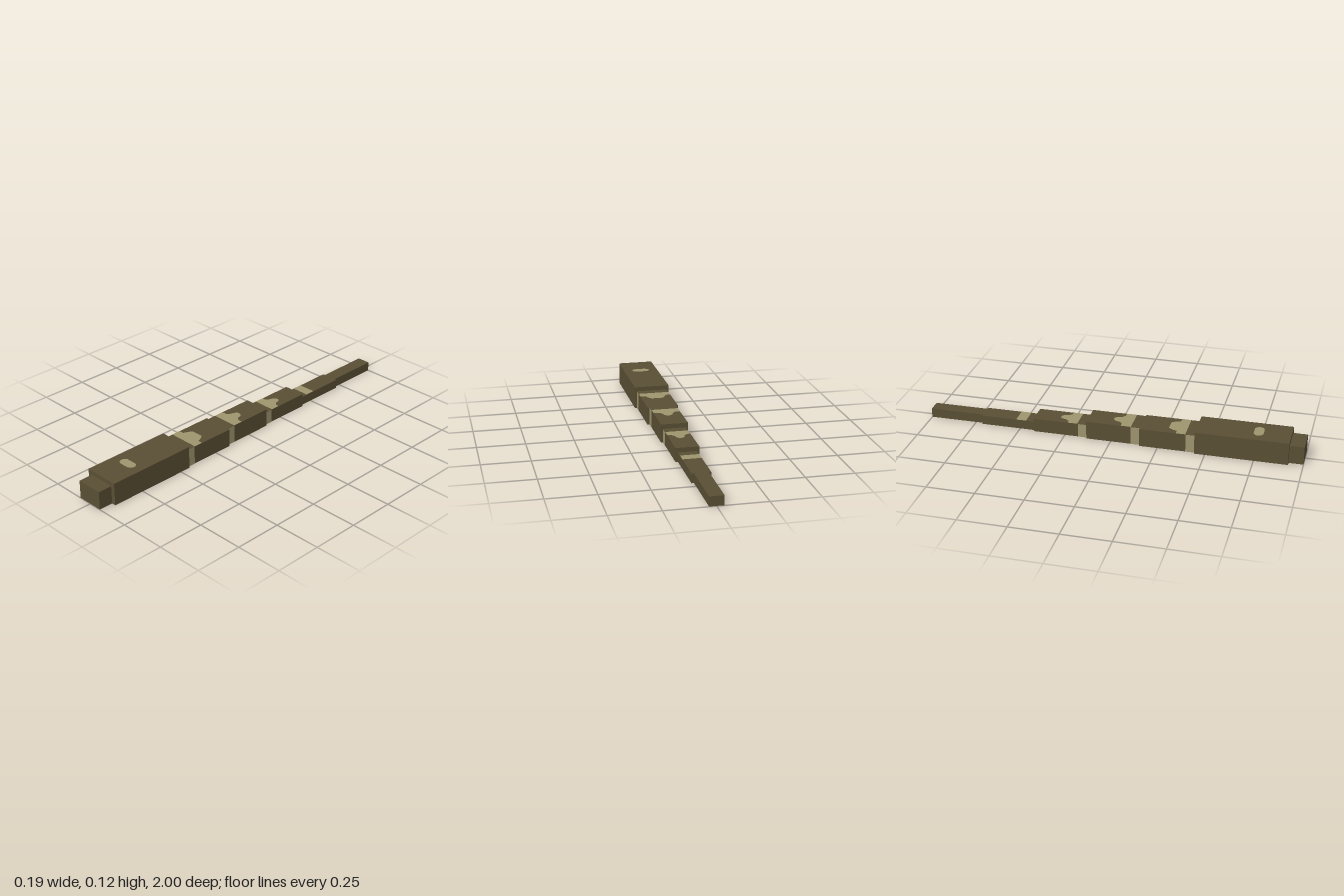
import * as THREE from 'three';

export function createModel() {
  const model = new THREE.Group();
  const olive = new THREE.MeshStandardMaterial({ color: 0x5a4f35 });
  const tan = new THREE.MeshStandardMaterial({ color: 0x9e956e });
  olive.name = 'dark olive';
  tan.name = 'pale tan';
  const LIFT = 0.001; // how far painted plates stand off the body

  // name, back z, front z, half width, height, underside, pale side strip
  const segments = [
    ['snout', 0.925, 1, 0.072, 0.098, olive, false],
    ['head', 0.445, 0.925, 0.095, 0.121, tan, false],
    ['neckSegment', 0.155, 0.445, 0.083, 0.098, tan, true],
    ['frontBodySegment', -0.13, 0.155, 0.071, 0.098, tan, true],
    ['rearBodySegment', -0.42, -0.13, 0.06, 0.074, tan, true],
    ['tailSegment', -0.71, -0.42, 0.048, 0.05, tan, false],
    ['tailTip', -1, -0.71, 0.036, 0.05, tan, false],
  ];

  // Stepped body with a pale belly
  for (const [name, z0, z1, half, height, belly, strip] of segments) {
    const geometry = new THREE.BoxGeometry(half * 2, height - LIFT, z1 - z0);
    const mesh = new THREE.Mesh(geometry, [olive, olive, olive, belly, olive, olive]);
    mesh.name = name;
    mesh.position.set(0, (height + LIFT) / 2, (z0 + z1) / 2);
    model.add(mesh);

    // Pale strips on both flanks at the front of a segment
    if (strip) {
      for (const side of [1, -1]) {
        const plate = new THREE.Mesh(new THREE.PlaneGeometry(0.047, height - LIFT), tan);
        plate.name = name + (side > 0 ? 'LeftStrip' : 'RightStrip');
        plate.rotation.y = side * Math.PI / 2;
        plate.position.set(side * (half + LIFT), (height + LIFT) / 2, z1 - 0.0235);
        model.add(plate);
      }
    }
  }

  // Flat marking from [x, z] points, facing up or down
  function marking(name, points, y, material, up = true) {
    const shape = new THREE.Shape(points.map(([x, z]) => new THREE.Vector2(x, up ? -z : z)));
    const geometry = new THREE.ShapeGeometry(shape);
    geometry.rotateX(up ? -Math.PI / 2 : Math.PI / 2);
    const mesh = new THREE.Mesh(geometry, material);
    mesh.name = name;
    mesh.position.y = y;
    model.add(mesh);
  }
  const mirrored = (half) => [...half, ...half.map(([x, z]) => [-x, z]).reverse()];

  // Pale markings along the back
  marking('headSpot', mirrored([[0.025, 0.785], [0.04, 0.778], [0.047, 0.768],
    [0.047, 0.752], [0.04, 0.742], [0.03, 0.735]]), 0.121 + LIFT, tan);
  marking('neckBand', mirrored([[0.083, 0.395], [0.083, 0.347], [0.055, 0.345],
    [0.048, 0.325], [0.04, 0.312], [0.032, 0.3]]), 0.098 + LIFT, tan);
  marking('frontBodyBand', mirrored([[0.071, 0.108], [0.071, 0.055], [0.045, 0.053],
    [0.03, 0.04], [0.022, 0.015], [0.01, 0.002]]), 0.098 + LIFT, tan);
  marking('rearBodyBand', mirrored([[0.06, -0.182], [0.06, -0.232], [0.04, -0.234],
    [0.026, -0.25], [0.02, -0.272], [0.01, -0.284]]), 0.074 + LIFT, tan);
  marking('tailBand', mirrored([[0.048, -0.466], [0.048, -0.52]]), 0.05 + LIFT, tan);

  // Dark chin, with a tongue of colour running back along the left edge
  marking('chin', [[-0.095, 0.925], [0.095, 0.925], [0.095, 0.505], [0.085, 0.54],
    [0.073, 0.62], [0.065, 0.715], [-0.095, 0.715]], 0, olive, false);

  return model;
}
